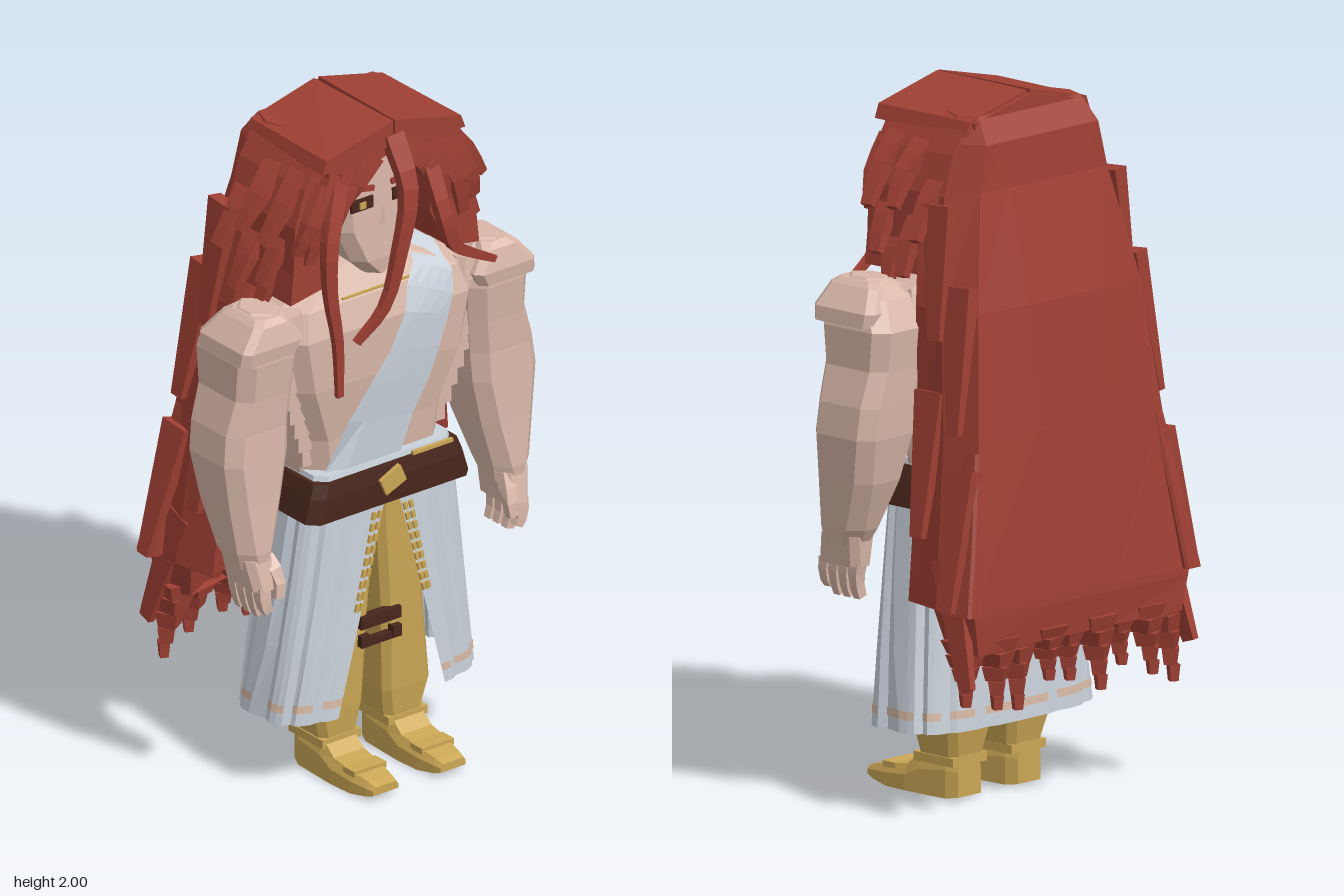
import * as THREE from 'three';

const mat = (name, color) => Object.assign(new THREE.MeshStandardMaterial({ color }), { name });

export function createModel() {
  const root = new THREE.Group();
  root.name = 'longHairedWarrior';
  const hair = mat('hair red', 0xa04034), skin = mat('skin', 0xd8b7a8), gold = mat('gold', 0xcba755);
  const cloth = mat('pale cloth', 0xcad2db), leather = mat('dark leather', 0x47261c), trim = mat('peach trim', 0xd8bba6);
  cloth.side = trim.side = THREE.DoubleSide;

  const add = (name, geo, m) => {
    const g = geo.index ? geo.toNonIndexed() : geo;
    g.computeVertexNormals();
    const mesh = new THREE.Mesh(g, m);
    mesh.name = name;
    root.add(mesh);
    return mesh;
  };
  const box = (name, m, w, h, d, x, y, z, rz = 0) => {
    const b = add(name, new THREE.BoxGeometry(w, h, d), m);
    b.position.set(x, y, z);
    b.rotation.z = rz;
    return b;
  };
  const fromPoints = (pos, idx) => {
    const g = new THREE.BufferGeometry();
    g.setAttribute('position', new THREE.Float32BufferAttribute(pos.flat(), 3));
    g.setIndex(idx);
    return g;
  };
  // Closed loft through rings of points; flips itself so that faces look outward
  const loft = (rings) => {
    const n = rings[0].length, pos = rings.flat(), idx = [];
    for (let r = 0; r < rings.length - 1; r++) for (let i = 0; i < n; i++) {
      const a = r * n + i, b = r * n + (i + 1) % n;
      idx.push(a, b, a + n, b, b + n, a + n);
    }
    [0, rings.length - 1].forEach((r, end) => {
      const c = [0, 1, 2].map(k => rings[r].reduce((s, p) => s + p[k] / n, 0));
      const ci = pos.push(c) - 1;
      for (let i = 0; i < n; i++) {
        const a = r * n + i, b = r * n + (i + 1) % n;
        idx.push(...(end ? [ci, a, b] : [ci, b, a]));
      }
    });
    let vol = 0;
    const v = i => new THREE.Vector3(...pos[i]);
    for (let i = 0; i < idx.length; i += 3) vol += v(idx[i]).dot(v(idx[i + 1]).cross(v(idx[i + 2])));
    return fromPoints(pos, vol < 0 ? idx.reverse() : idx);
  };
  // Chamfered rectangle at height y
  const ring = (s, y, x0, x1, z0, z1, c = 0.03) => [
    [x0 + c, z0], [x1 - c, z0], [x1, z0 + c], [x1, z1 - c], [x1 - c, z1], [x0 + c, z1], [x0, z1 - c], [x0, z0 + c],
  ].map(([x, z]) => [s * x, y, z]);
  // Tapering four-sided lock along a curve
  const strand = (name, m, pts, w, d, taper = 0.75, n = 7) => {
    const curve = new THREE.CatmullRomCurve3(pts.map(p => new THREE.Vector3(...p)));
    const rings = [];
    for (let i = 0; i <= n; i++) {
      const t = i / n, p = curve.getPoint(t), tan = curve.getTangent(t), k = 1 - taper * t;
      const a = tan.clone().cross(new THREE.Vector3(0, 0, 1)).normalize(), b = a.clone().cross(tan).normalize();
      rings.push([[1, 1], [1, -1], [-1, -1], [-1, 1]].map(([u, q]) =>
        p.clone().addScaledVector(a, u * w * k).addScaledVector(b, q * d * k).toArray()));
    }
    return add(name, loft(rings), m);
  };
  // Outline in x and y pushed out along z
  const slab = (pts, z0, z1) => new THREE.ExtrudeGeometry(new THREE.Shape(pts.map(p => new THREE.Vector2(...p))),
    { depth: z1 - z0, bevelEnabled: false }).translate(0, 0, z0);
  const mirrored = pts => [...pts, ...pts.slice().reverse().filter(p => p[0] !== 0).map(([x, y]) => [-x, y])];

  // Torso rows: y, half width, back z, front z
  const torso = [[0.88, 0.23, -0.05, 0.17], [1.05, 0.25, -0.05, 0.18], [1.22, 0.31, -0.06, 0.2],
    [1.38, 0.34, -0.06, 0.205], [1.46, 0.32, -0.04, 0.18], [1.51, 0.23, -0.02, 0.15], [1.56, 0.12, -0.01, 0.12]];
  add('torso', loft(torso.map(([y, w, a, b]) => ring(1, y, -w, w, a, b, 0.06))), skin);
  const frontZ = (x, y) => {
    let i = 0;
    while (i < torso.length - 2 && y > torso[i + 1][0]) i++;
    const t = Math.min(1, (y - torso[i][0]) / (torso[i + 1][0] - torso[i][0]));
    const [w, z] = [1, 3].map(k => THREE.MathUtils.lerp(torso[i][k], torso[i + 1][k], t));
    return z - Math.max(0, Math.abs(x) - w + 0.06);
  };

  // Head, face and necklace
  add('head', loft([[1.51, 0.04, 0.02, 0.18], [1.56, 0.09, -0.02, 0.185], [1.66, 0.135, -0.05, 0.18], [1.9, 0.15, -0.06, 0.17]]
    .map(([y, w, a, b]) => ring(1, y, -w, w, a, b, 0.035))), skin);
  add('neck', new THREE.CylinderGeometry(0.085, 0.11, 0.16, 8).translate(0, 1.52, 0.05), skin);
  add('nose', new THREE.ConeGeometry(0.012, 0.06, 4).translate(0, 1.69, 0.18), skin);
  box('necklace', gold, 0.24, 0.006, 0.006, -0.02, 1.47, 0.178);

  for (const s of [1, -1]) {
    box('eyeSocket', leather, 0.075, 0.036, 0.008, s * 0.072, 1.74, 0.178);
    box('iris', gold, 0.02, 0.02, 0.008, s * 0.072, 1.738, 0.182);
    box('eyebrow', hair, 0.06, 0.016, 0.01, s * 0.06, 1.785, 0.178, s * 0.2);

    // Stepped flank muscles
    for (let i = 0; i < 6; i++)
      box('flankMuscle', skin, 0.07, 0.075, 0.19 - i * 0.01, s * (0.305 - i * 0.018), 1.26 - i * 0.05, 0.07);

    // Arm, shoulder cap and hand
    add('arm', loft([[1.5, 0.35, 0.43, 0.05, 0.18], [1.45, 0.31, 0.48, 0, 0.21], [1.37, 0.3, 0.505, -0.045, 0.215],
      [1.26, 0.31, 0.505, -0.035, 0.205], [1.16, 0.32, 0.535, -0.03, 0.2], [1.07, 0.325, 0.545, -0.025, 0.205],
      [0.94, 0.35, 0.53, 0, 0.21], [0.8, 0.385, 0.51, 0.05, 0.22], [0.75, 0.395, 0.495, 0.08, 0.215]]
      .map(r => ring(s, ...r, 0.038))), skin);
    add('shoulderCap', loft([[1.38, 0.32, 0.515, 0.0, 0.22], [1.42, 0.3, 0.51, -0.005, 0.225], [1.48, 0.34, 0.46, 0.03, 0.21],
      [1.495, 0.35, 0.44, 0.05, 0.19]].map(r => ring(s, ...r, 0.02))), skin);
    add('collarMuscle', loft([[1.4, 0.26, 0.36, 0.02, 0.19], [1.47, 0.27, 0.37, 0.04, 0.18]].map(r => ring(s, ...r, 0.02))), skin);
    add('palm', loft([[0.78, 0.4, 0.495, 0.07, 0.215], [0.69, 0.405, 0.48, 0.08, 0.235]].map(r => ring(s, ...r, 0.02))), skin);
    for (let i = 0; i < 4; i++) {
      const z = 0.1 + i * 0.038;
      strand('finger', skin, [[s * 0.45, 0.7, z], [s * 0.45, 0.65, z + 0.006], [s * 0.435, 0.6 + (i === 3 ? 0.02 : 0), z + 0.006]], 0.02, 0.017, 0.3, 3);
    }
    strand('thumb', skin, [[s * 0.42, 0.77, 0.19], [s * 0.405, 0.72, 0.225], [s * 0.41, 0.66, 0.235]], 0.02, 0.017, 0.3, 3);

    // Trouser leg
    add('trouserLeg', loft([[0.86, 0, 0.16, -0.02, 0.17], [0.74, 0.004, 0.15, -0.03, 0.165], [0.45, 0.025, 0.17, -0.03, 0.16],
      [0.2, 0.035, 0.2, -0.02, 0.15], [0.1, 0.052, 0.175, 0, 0.14]].map(r => ring(s, ...r, 0.02))), gold);
    // Boot as sections from heel to toe: z, half width, sole y, instep y
    add('boot', loft([[-0.005, 0.045, 0.005, 0.12], [0.03, 0.06, 0, 0.13], [0.13, 0.064, 0, 0.115], [0.18, 0.066, 0, 0.075],
      [0.26, 0.06, 0, 0.062], [0.32, 0.05, 0.01, 0.05], [0.343, 0.044, 0.018, 0.042]].map(([z, w, y0, y1]) =>
      [[-w, y0], [w, y0], [w, y0 + (y1 - y0) * 0.6], [w * 0.8, y1], [-w * 0.8, y1], [-w, y0 + (y1 - y0) * 0.6]]
        .map(([x, y]) => [s * 0.118 + x, y, z]))), gold);
    box('bootCuff', gold, 0.135, 0.025, 0.15, s * 0.116, 0.105, 0.07);
    box('bootStrap', gold, 0.112, 0.018, 0.05, s * 0.118, 0.06, 0.25);
  }

  // Diagonal sash: left x, left y, right x, right y, lift
  const rows = [[0.15, 1.57, 0.24, 1.51, -0.12], [0.145, 1.575, 0.235, 1.515, 0.035], [0.11, 1.51, 0.225, 1.46, 0.025],
    [0.07, 1.46, 0.215, 1.4, 0.02], [0.05, 1.39, 0.2, 1.34, 0.016], [0.0, 1.29, 0.17, 1.25, 0.016],
    [-0.07, 1.2, 0.14, 1.16, 0.016], [-0.14, 1.1, 0.09, 1.06, 0.018], [-0.2, 0.95, 0.04, 0.92, 0.02]];
  const sp = [], si = [];
  rows.forEach(([xl, yl, xr, yr, lift], r) => {
    for (let i = 0; i <= 4; i++) {
      const x = THREE.MathUtils.lerp(xl, xr, i / 4), y = THREE.MathUtils.lerp(yl, yr, i / 4), a = r * 5 + i;
      sp.push([x, y, frontZ(x, y) + lift]);
      if (r < rows.length - 1 && i < 4) si.push(a, a + 5, a + 1, a + 1, a + 5, a + 6);
    }
  });
  add('sash', fromPoints(sp, si), cloth);

  // Pleated skirt, open at the front
  const openAngle = y => Math.asin(((0.025 + 0.16 * (0.84 - y) / 0.62) / (0.28 + 0.075 * (0.84 - y) / 0.62)) ** (1 / 0.6));
  const skirtPoint = (ang, y, k) => {
    const t = (0.84 - y) / 0.62, pw = v => Math.sign(v) * Math.abs(v) ** 0.6;
    return [(0.28 + 0.075 * t) * k * pw(Math.sin(ang)), y, 0.075 - 0.012 * t + (0.145 + 0.018 * t) * k * pw(Math.cos(ang))];
  };
  const skirtBand = (ys, k, keep = () => true) => {
    const n = 48, pos = [], idx = [];
    ys.forEach((y, r) => {
      const a0 = openAngle(y);
      for (let i = 0; i <= n; i++) {
        const a = r * (n + 1) + i;
        pos.push(skirtPoint(a0 + (2 * Math.PI - 2 * a0) * i / n, y, k * (i % 4 === 2 ? 0.96 : 1)));
        if (r < ys.length - 1 && i < n && keep(i)) idx.push(a, a + n + 1, a + 1, a + 1, a + n + 1, a + n + 2);
      }
    });
    return fromPoints(pos, idx);
  };
  add('skirt', skirtBand([0.85, 0.65, 0.43, 0.215], 1), cloth);
  add('skirtHemStripe', skirtBand([0.275, 0.252], 1.006, i => i % 4 !== 1), trim);
  for (const s of [1, -1]) for (const inset of [0.015, 0.055]) for (let i = 0; i < 9; i++) {
    const y = 0.8 - i * 0.033, p = skirtPoint(openAngle(y) + inset, y, 1);
    box('skirtEdgeStitch', gold, 0.012, 0.022, 0.008, s * p[0], y, p[2] + 0.003, s * 0.25);
  }

  // Belt with cloth and gold rims, buckle and knotted cord
  add('belt', loft([[0.83, 0.285, -0.065, 0.228], [0.9, 0.265, -0.06, 0.226], [0.94, 0.25, -0.055, 0.22]]
    .map(([y, w, a, b]) => ring(1, y, -w, w, a, b, 0.03))), leather);
  add('waistCloth', loft([[0.93, 0.24, -0.05, 0.205], [0.955, 0.235, -0.05, 0.2]].map(([y, w, a, b]) => ring(1, y, -w, w, a, b, 0.03))), cloth);
  box('beltRim', gold, 0.14, 0.012, 0.012, 0.15, 0.944, 0.21);
  box('buckle', gold, 0.076, 0.054, 0.02, -0.005, 0.897, 0.226, 0.4);
  box('cordKnot', leather, 0.14, 0.035, 0.03, 0, 0.45, 0.16);
  box('cordLoop', leather, 0.13, 0.02, 0.025, 0, 0.385, 0.16);
  for (const s of [1, -1]) box('cordEnd', leather, 0.03, 0.035, 0.025, s * 0.055, 0.395, 0.165);

  // Roof-like crown in two plates, and the hair framing the face
  for (const s of [1, -1])
    add('crownPlate', loft([[0.23, 0], [-0.115, 0.005]].map(([z, dx]) =>
      [[0.003 + dx, 1.995], [0.235 - dx, 1.94], [0.25 - dx, 1.9], [0.003 + dx, 1.92]].map(([x, y]) => [s * x, y, z]))), hair);
  add('crownCore', slab(mirrored([[0, 1.985], [0.22, 1.935], [0.22, 1.88], [0, 1.89]]), -0.125, 0.22), hair);
  add('hairFrame', slab(mirrored([[0, 1.96], [0.23, 1.93], [0.28, 1.85], [0.315, 1.74], [0.32, 1.6], [0.33, 1.51], [0.22, 1.53],
    [0.16, 1.65], [0.145, 1.76], [0.07, 1.85], [0, 1.87]]), -0.1, 0.19), hair);

  // Back hair: y front, y back, side x, side z, corner x, corner z, middle z
  add('backHair', loft([[1.95, 1.95, 0.2, 0, 0.2, -0.12, -0.12], [1.88, 1.88, 0.26, 0, 0.22, -0.17, -0.17],
    [1.75, 1.75, 0.31, 0, 0.25, -0.175, -0.18], [1.43, 1.43, 0.36, -0.035, 0.32, -0.235, -0.25],
    [1.08, 1.08, 0.36, -0.045, 0.36, -0.275, -0.29], [0.61, 0.61, 0.41, -0.055, 0.425, -0.32, -0.31],
    [0.608, 0.59, 0.41, -0.15, 0.42, -0.32, -0.31], [0.5, 0.49, 0.39, -0.18, 0.4, -0.315, -0.3]]
    .map(([yf, yb, xs, zs, xb, zb, zc]) => {
      const half = [[0.7 * xs, yf, zs - 0.06], [xs, yf, zs], [(xs + xb) / 2 + 0.02, (yf + yb) / 2, (zs + zb) / 2],
        [xb, yb, zb], [0.14, yb, zc]];
      return [...half, ...half.slice().reverse().map(([x, y, z]) => [-x, y, z])];
    })), hair);

  // Stepped tails along the lower edge
  for (let i = 0; i < 9; i++) {
    const u = (i - 4) / 4, x = u * 0.385, z = -0.25 - (i % 2) * 0.02, len = 0.2 + 0.04 * Math.abs(u) - (i % 3) * 0.03;
    for (let k = 0; k < 5; k++) {
      const r = 0.07 - k * 0.012;
      add('hairTail', new THREE.CylinderGeometry(r, r * 0.75, len / 5, 4).rotateY(0.7 + k * 0.3)
        .translate(x + u * k * 0.006, 0.525 - (k + 0.5) * len / 5, z - k * 0.006), hair);
    }
  }

  for (const s of [1, -1]) {
    // Flicked-out locks around the head: root, then tip
    [[0.23, 1.88, 0.13, 0.38, 1.69], [0.25, 1.86, 0.03, 0.385, 1.7], [0.26, 1.79, -0.06, 0.39, 1.62], [0.26, 1.73, 0.11, 0.37, 1.56],
      [0.29, 1.67, 0.0, 0.38, 1.51], [0.28, 1.62, 0.08, 0.35, 1.49]].forEach(([x, y, z, x2, y2]) =>
      strand('sideLock', hair, [[s * x, y, z], [s * (x * 0.45 + x2 * 0.55), y * 0.5 + y2 * 0.5 + 0.01, z + 0.01], [s * x2, y2, z]], 0.024, 0.036, 0.5, 4));
    // Fringe locks
    [[0.06, 1.9, 0.15, 1.76], [0.13, 1.88, 0.2, 1.66], [0.18, 1.87, 0.27, 1.62], [0.21, 1.84, 0.31, 1.66]].forEach(([x, y, x2, y2]) =>
      strand('fringeLock', hair, [[s * x, y, 0.2], [s * (x + x2) / 2 + s * 0.015, (y + y2) / 2, 0.21], [s * x2, y2, 0.19]], 0.04, 0.02, 0.6, 4));
    // Long flat locks down the sides of the back hair
    [[0.33, 1.72, -0.1, 0.38, 1.35, -0.13], [0.33, 1.5, -0.18, 0.4, 1.1, -0.22], [0.36, 1.2, -0.1, 0.43, 0.8, -0.11],
      [0.38, 1.0, -0.24, 0.48, 0.62, -0.27], [0.4, 0.75, -0.2, 0.44, 0.4, -0.31]].forEach(([x, y, z, x2, y2, z2]) =>
      strand('longSideLock', hair, [[s * x, y, z], [s * (x + x2) / 2, (y + y2) / 2, (z + z2) / 2], [s * x2, y2, z2]], 0.022, 0.05, 0.55, 4));
    // Heavy outer lock at the rear corner
    add('rearCornerLock', loft([[1.05, 0.33, 0.37, -0.28, -0.22], [0.8, 0.37, 0.42, -0.315, -0.24], [0.61, 0.4, 0.46, -0.338, -0.25]]
      .map(r => ring(s, ...r, 0.008))), hair);
  }

  // Loose strands hanging in front
  strand('middleStrand', hair, [[0.0, 1.95, 0.22], [0.01, 1.8, 0.28], [-0.02, 1.62, 0.28], [-0.06, 1.45, 0.26], [-0.14, 1.36, 0.24]], 0.03, 0.018, 0.6, 12);
  strand('rightStrand', hair, [[-0.17, 1.86, 0.2], [-0.24, 1.7, 0.25], [-0.24, 1.55, 0.25], [-0.205, 1.38, 0.24], [-0.195, 1.21, 0.235]], 0.026, 0.018, 0.6, 12);
  strand('leftStrand', hair, [[0.14, 1.82, 0.2], [0.16, 1.66, 0.25], [0.2, 1.56, 0.24], [0.27, 1.51, 0.23], [0.36, 1.46, 0.22]], 0.024, 0.018, 0.6, 12);
  return root;
}
